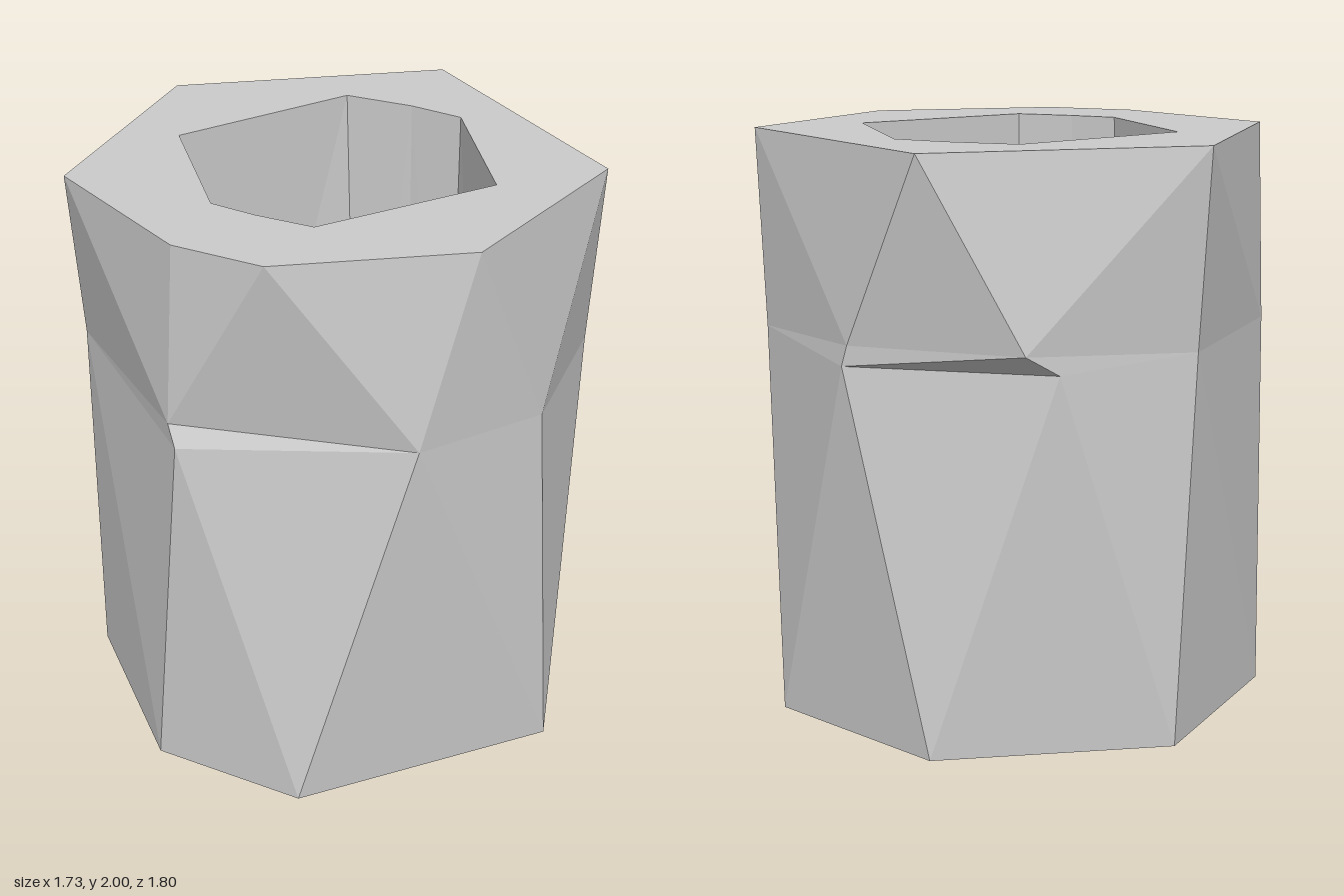
import * as THREE from 'three';

const material = new THREE.MeshStandardMaterial({ color: 0xcccccc, flatShading: true, side: THREE.DoubleSide });
const ring = (points, y) => points.map(([x, z, h = y]) => new THREE.Vector3(x, h, z));

// Joins two closed rings with triangles, always taking the shorter diagonal.
function band(name, lower, upper) {
  const pos = [];
  const n = lower.length, m = upper.length;
  const lo = (i) => lower[i % n], up = (j) => upper[j % m];
  const tri = (a, b, c) => {
    if (a.equals(b) || b.equals(c) || a.equals(c)) return;
    pos.push(...a.toArray(), ...b.toArray(), ...c.toArray());
  };
  let i = 0, j = 0;
  while (i < n || j < m) {
    const stepLower = j === m || (i < n && lo(i + 1).distanceTo(up(j)) <= lo(i).distanceTo(up(j + 1)));
    if (stepLower) {
      tri(lo(i), lo(i + 1), up(j));
      i++;
    } else {
      tri(lo(i), up(j + 1), up(j));
      j++;
    }
  }
  const geometry = new THREE.BufferGeometry();
  geometry.setAttribute('position', new THREE.Float32BufferAttribute(pos, 3));
  geometry.computeVertexNormals();
  const mesh = new THREE.Mesh(geometry, material);
  mesh.name = name;
  return mesh;
}

// Flat end face with the bore cut out; dir is 1 for up and -1 for down.
function endFace(name, outer, inner, y, dir) {
  const flat = (points) => points.map(([x, z]) => new THREE.Vector2(x, -dir * z));
  const shape = new THREE.Shape(flat(outer));
  shape.holes.push(new THREE.Path(flat(inner)));
  const geometry = new THREE.ShapeGeometry(shape).rotateX(-dir * Math.PI / 2).translate(0, y, 0);
  const mesh = new THREE.Mesh(geometry, material);
  mesh.name = name;
  return mesh;
}

export function createModel() {
  const group = new THREE.Group();
  group.name = 'facetedTube';

  // Outer outlines as [x, z], running from the front towards +x
  const topOuter = [[-0.14, 0.875], [0.19, 0.87], [0.72, 0.46], [0.8, -0.33], [-0.1, -0.9], [-0.865, -0.29], [-0.74, 0.59]];
  const bottomOuter = [[-0.28, 0.865], [0.28, 0.86], [0.86, 0.11], [0.57, -0.61], [-0.12, -0.865], [-0.81, -0.41], [-0.845, 0.37]];

  // Outlines at the crack as [x, z, y]; they part at three corners
  const crackUpper = [[-0.18, 0.875, 1.36], [0.6, 0.62, 1.34], [0.82, 0.17, 1.32], [0.72, -0.41, 1.32],
    [0.19, -0.82, 1.36], [-0.42, -0.77, 1.36], [-0.82, -0.27, 1.32], [-0.82, 0.41, 1.33]];
  const crackLower = crackUpper.slice();
  crackLower[0] = [-0.14, 0.9, 1.29];
  crackLower[4] = [0.21, -0.82, 1.29];
  crackLower[5] = [-0.5, -0.68, 1.29];

  // Bore outlines
  const topInner = [[0.18, 0.545], [0.535, -0.03], [0.17, -0.505], [-0.03, -0.52], [-0.28, -0.5], [-0.6, 0.11], [-0.2, 0.545], [-0.03, 0.555]];
  const bottomInner = [[0.18, 0.545], [0.535, -0.03], [0.15, -0.505], [-0.03, -0.52], [-0.23, -0.495], [-0.56, 0], [-0.28, 0.53], [-0.03, 0.555]];

  group.add(
    band('lowerWall', ring(bottomOuter, 0), ring(crackLower)),
    band('crackLedge', ring(crackLower), ring(crackUpper)),
    band('upperWall', ring(crackUpper), ring(topOuter, 2)),
    band('boreWall', ring(bottomInner, 0).reverse(), ring(topInner, 2).reverse()),
    endFace('topRim', topOuter, topInner, 2, 1),
    endFace('bottomRim', bottomOuter, bottomInner, 0, -1),
  );
  return group;
}
